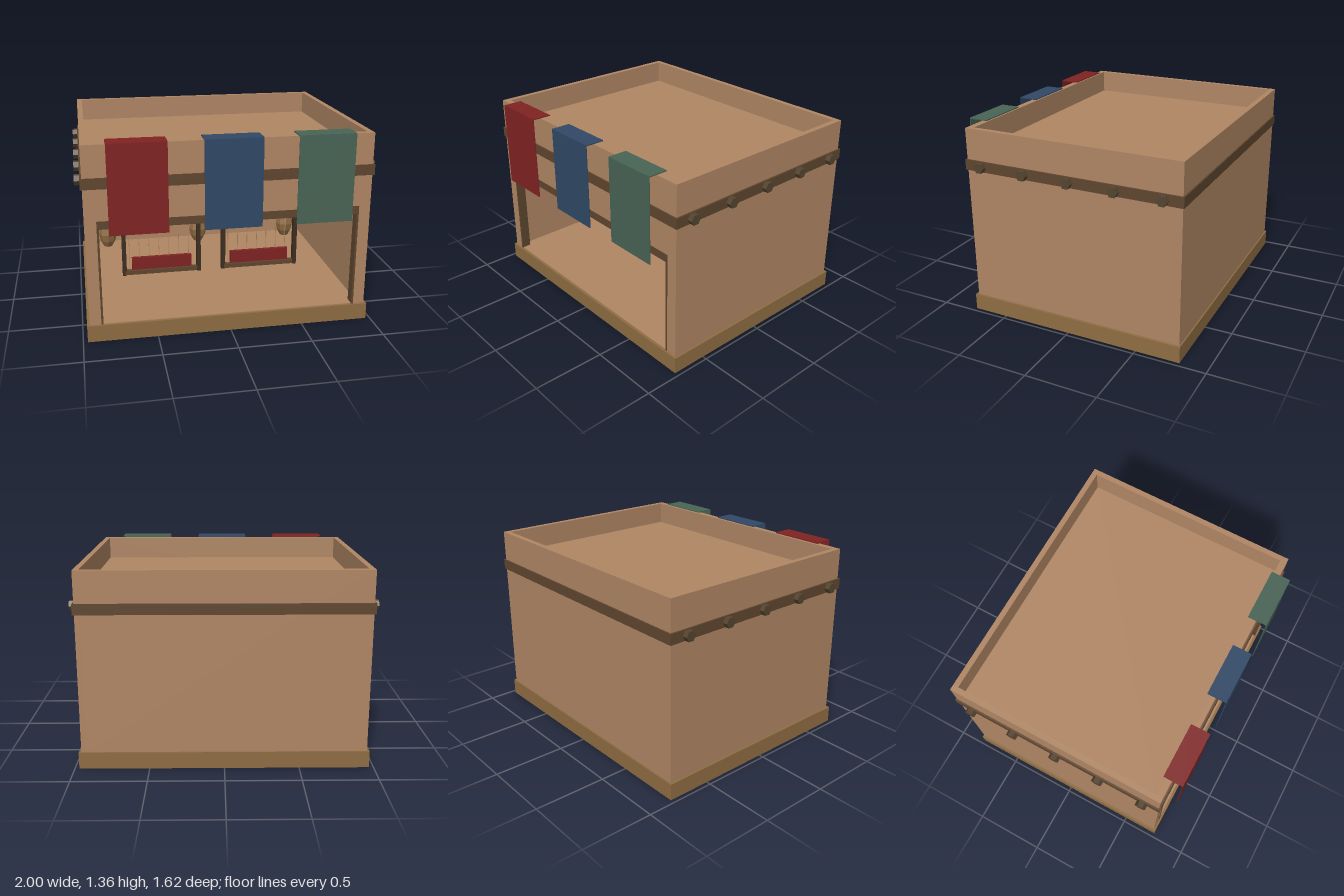
import * as THREE from 'three';

const mat = (color) => new THREE.MeshStandardMaterial({ color, flatShading: true });
const M = {
  clay: mat(0xb08664), base: mat(0x8f6d43), beam: mat(0x5f462f), log: mat(0x55452f),
  dark: mat(0x3d2d20), red: mat(0x802222), blue: mat(0x304866), green: mat(0x486455),
};

function add(parent, name, geometry, material, x = 0, y = 0, z = 0) {
  const mesh = new THREE.Mesh(geometry, material);
  mesh.name = name;
  mesh.position.set(x, y, z);
  parent.add(mesh);
  return mesh;
}

// Box given by its limits on each axis
function block(parent, name, material, [x0, x1], [y0, y1], [z0, z1]) {
  return add(parent, name, new THREE.BoxGeometry(x1 - x0, y1 - y0, z1 - z0), material,
    (x0 + x1) / 2, (y0 + y1) / 2, (z0 + z1) / 2);
}

function group(parent, name, x = 0, y = 0, z = 0) {
  const g = new THREE.Group();
  g.name = name;
  g.position.set(x, y, z);
  parent.add(g);
  return g;
}

// Upright weaving loom, standing at its local y = 0
function makeLoom(parent, name, x) {
  const loom = group(parent, name, x, 0.12, -0.03);
  for (const s of [-1, 1]) add(loom, 'loomPost', new THREE.BoxGeometry(0.03, 0.75, 0.04), M.dark, s * 0.285, 0.375, 0);
  for (const y of [0.02, 0.735]) add(loom, 'loomCrossbar', new THREE.BoxGeometry(0.56, 0.032, 0.04), M.beam, 0, y, 0);
  for (let i = -3; i <= 3; i++) {
    add(loom, 'warpThread', new THREE.BoxGeometry(0.004, 0.7, 0.004), M.clay, i * 0.0755 - 0.019, 0.38, 0);
  }
  add(loom, 'wovenCloth', new THREE.BoxGeometry(0.455, 0.095, 0.03), M.red, 0, 0.09, 0);
  add(loom, 'heddleBar', new THREE.BoxGeometry(0.495, 0.014, 0.02), M.dark, 0, 0.437, 0.015);
  add(loom, 'shuttle', new THREE.BoxGeometry(0.07, 0.026, 0.025), M.log, 0.19, 0.455, 0.015);
}

// Faceted jar with a narrow, flared neck
function makeJar(parent, x) {
  const profile = [[0, 0], [0.035, 0], [0.062, 0.05], [0.074, 0.11], [0.062, 0.17],
    [0.035, 0.21], [0.02, 0.222], [0.027, 0.24], [0, 0.235]];
  add(parent, 'jar', new THREE.LatheGeometry(profile.map(p => new THREE.Vector2(...p)), 8), M.base, x, 0.12, -0.66);
}

export function createModel() {
  const model = new THREE.Group();
  model.name = 'weavingHouse';

  // Plinth and floor
  block(model, 'plinth', M.base, [-0.97, 0.97], [0, 0.115], [-0.81, 0.75]);
  block(model, 'floor', M.clay, [-0.91, 0.91], [0.112, 0.12], [-0.77, 0.733]);

  // Walls rising past the roof as a parapet
  const walls = group(model, 'walls');
  for (const s of [-1, 1]) {
    const [a, b] = [s * 0.953, s * 0.915].sort((p, q) => p - q);
    block(walls, 'sideWall', M.clay, [a, b], [0.115, 1.34], [-0.8, 0.735]);
  }
  block(walls, 'backWall', M.clay, [-0.915, 0.915], [0.115, 1.34], [-0.8, -0.762]);
  const front = new THREE.Shape([[-0.915, 0.115], [-0.875, 0.115], [-0.875, 0.84], [0.875, 0.84],
    [0.875, 0.115], [0.915, 0.115], [0.915, 1.34], [-0.915, 1.34]].map(p => new THREE.Vector2(...p)));
  add(walls, 'frontWall', new THREE.ExtrudeGeometry(front, { depth: 0.045, bevelEnabled: false }), M.clay, 0, 0, 0.69);
  block(model, 'roof', M.clay, [-0.92, 0.92], [1.13, 1.18], [-0.77, 0.7]);

  // Timber frame of the front opening
  const frame = group(model, 'doorFrame');
  block(frame, 'lintel', M.beam, [-0.875, 0.875], [0.785, 0.84], [0.67, 0.737]);
  for (const s of [-1, 1]) add(frame, 'doorPost', new THREE.BoxGeometry(0.014, 0.67, 0.067), M.beam, s * 0.868, 0.45, 0.7035);

  // Timber band around the house
  const band = group(model, 'timberBand');
  block(band, 'frontBand', M.beam, [-0.965, 0.965], [1.055, 1.127], [0.73, 0.745]);
  block(band, 'backBand', M.beam, [-0.965, 0.965], [1.055, 1.127], [-0.81, -0.795]);
  for (const s of [-1, 1]) add(band, 'sideBand', new THREE.BoxGeometry(0.017, 0.072, 1.53), M.beam, s * 0.9565, 1.091, -0.0325);

  // Six-sided roof logs poking out of both sides
  for (let i = 0; i < 5; i++) {
    const log = add(model, 'roofLog', new THREE.CylinderGeometry(0.037, 0.037, 2, 6), M.log, 0, 1.09, 0.62 - i * 0.325);
    log.rotation.z = Math.PI / 2;
  }

  // Cloths hung over the front parapet
  [['red', -0.61], ['blue', 0], ['green', 0.61]].forEach(([color, x]) => {
    const cloth = group(model, color + 'Cloth', x);
    block(cloth, 'clothTop', M[color], [-0.19, 0.19], [1.353, 1.36], [0.675, 0.81]);
    block(cloth, 'clothDrop', M[color], [-0.19, 0.19], [0.765, 1.355], [0.806, 0.811]);
  });

  // Looms and jars inside
  makeLoom(model, 'rightLoom', -0.382);
  makeLoom(model, 'leftLoom', 0.38);
  for (const x of [-0.762, 0, 0.762]) makeJar(model, x);

  return model;
}
